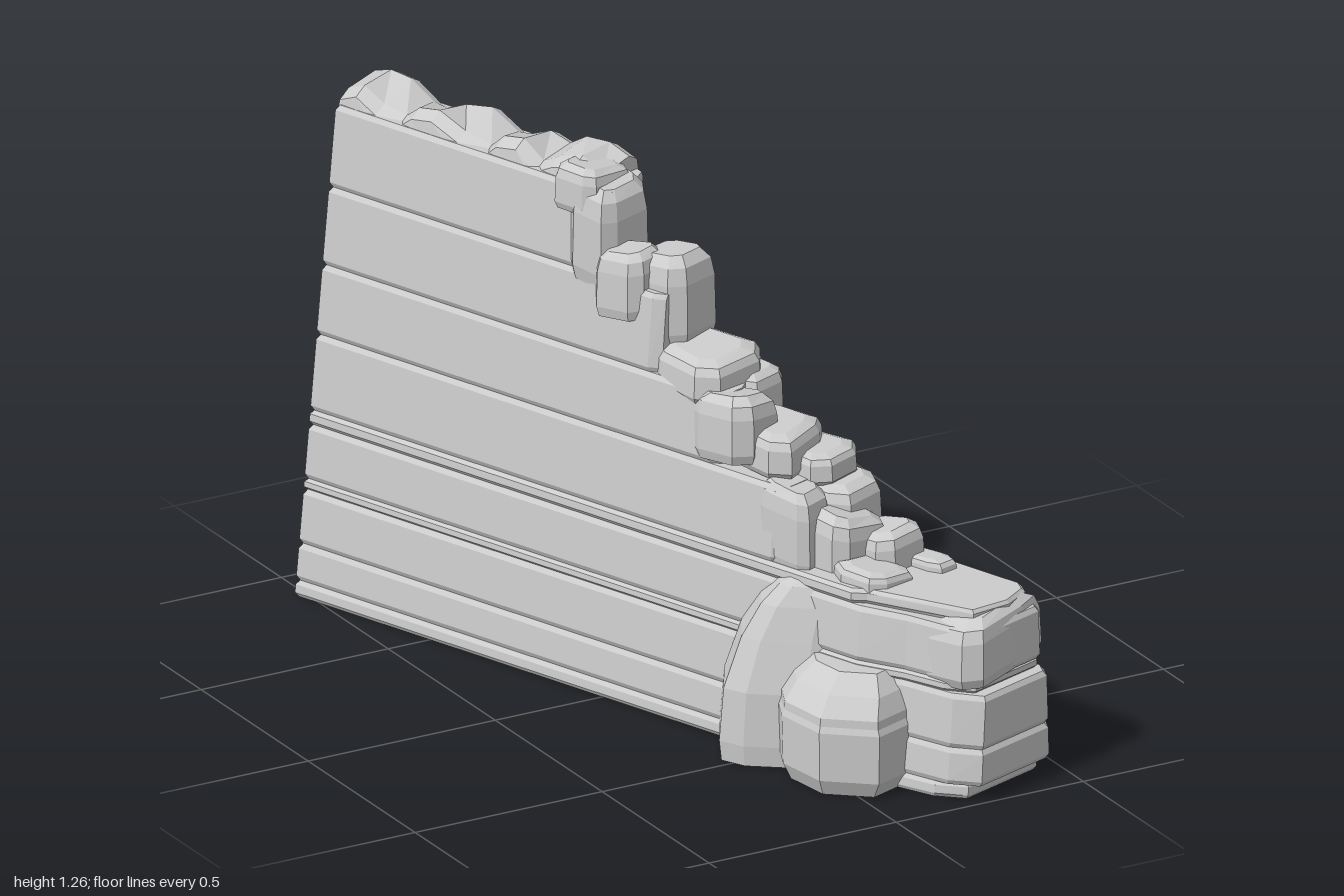
import * as THREE from 'three';

const stone = new THREE.MeshStandardMaterial({ color: 0xcccccc, flatShading: true });
stone.name = 'grey stone';

// small seeded generator for irregular stones
let seed = 7;
const jitter = (a) => {
  seed = (seed * 16807) % 2147483647;
  return (seed / 2147483647 - 0.5) * 2 * a;
};

// closed solid from rings of [x, y, z] points stacked one after another
function loft(rings) {
  const n = rings[0].length, pos = rings.flat(2), idx = [];
  for (let r = 0; r < rings.length - 1; r++)
    for (let i = 0; i < n; i++) {
      const a = r * n + i, b = r * n + (i + 1) % n;
      idx.push(a, a + n, b, b, a + n, b + n);
    }
  [0, rings.length - 1].forEach((r, top) => {
    const c = pos.length / 3;
    for (let k = 0; k < 3; k++) pos.push(rings[r].reduce((s, p) => s + p[k], 0) / n);
    for (let i = 0; i < n; i++) {
      const a = r * n + i, b = r * n + (i + 1) % n;
      if (top) idx.push(c, b, a); else idx.push(c, a, b);
    }
  });
  const g = new THREE.BufferGeometry();
  g.setAttribute('position', new THREE.Float32BufferAttribute(pos, 3));
  g.setIndex(idx);
  g.computeVertexNormals();
  return g;
}

function add(parent, name, geometry) {
  const m = new THREE.Mesh(geometry, stone);
  m.name = name;
  parent.add(m);
}

// the wall tapers upwards and leans slightly to one side
const half = (y) => 0.18 - 0.076 * y;
const lean = (y) => 0.027 * y;

// one course of the wall with bevelled joints; outline is [side, along] with side in -1..1
function course(y0, y1, outline) {
  const b = Math.min(0.012, (y1 - y0) / 4), g = 0.007;
  return loft([[y0, g], [y0 + b, 0], [y1 - b, 0], [y1, g]].map(([y, inset]) =>
    outline.map(([s, u]) => [
      s * (half(y) - inset) + lean(y), y, u * (1 - inset) + (u === -1 ? 0.016 * y : 0)])));
}

// roughly squared stone with worn corners: centre and half sizes
const corners = [[-1, -0.6], [-0.65, -1], [0.65, -1], [1, -0.6], [1, 0.6], [0.65, 1], [-0.65, 1], [-1, 0.6]];
function block([x, y, z, sx, sy, sz]) {
  const base = corners.map(([px, pz]) => [px + jitter(0.12), pz + jitter(0.12)]);
  const tiltX = jitter(0.12), tiltZ = jitter(0.12);
  return loft([[-1, 0.92], [-0.7, 1], [0.4, 0.97], [0.78, 0.88], [1, 0.62]].map(([h, k]) =>
    base.map(([px, pz]) => [
      x + px * k * sx, y + (h + tiltX * px + tiltZ * pz) * sy, z + pz * k * sz])));
}

// boulder: plan outline scaled and shifted at each level [y, scale, dx, dz]
function boulder(outline, levels) {
  const n = outline.length;
  const cx = outline.reduce((s, p) => s + p[0], 0) / n;
  const cz = outline.reduce((s, p) => s + p[1], 0) / n;
  return loft(levels.map(([y, k, dx = 0, dz = 0]) =>
    outline.map(([x, z]) => [cx + (x - cx) * k + dx, y, cz + (z - cz) * k + dz])));
}

export function createModel() {
  seed = 7;
  const model = new THREE.Group();
  model.name = 'ruinedWall';
  const wall = new THREE.Group();
  wall.name = 'wall';
  wall.position.set(-0.03, 0, 0);
  wall.rotation.y = 0.337;
  model.add(wall);

  // long lower courses with a broken front corner: [y0, y1, front end]
  [[0, 0.04, 0.99], [0.04, 0.13, 1.03], [0.13, 0.262, 1.03], [0.262, 0.288, 1.0], [0.288, 0.42, 1.01]]
    .forEach(([a, b, e]) => add(wall, 'lowerCourse', course(a, b,
      [[-1, -1], [1, -1], [1, e - 0.03], [0.85, e], [-0.5, e], [-0.72, e - 0.07], [-0.8, 0.82], [-1, 0.7]])));

  // stepped upper courses: [y0, y1, right end, left end]
  [[0.42, 0.455, 0.97, 0.7], [0.455, 0.64, 0.42, 0.45], [0.64, 0.81, 0.18, 0.24],
    [0.81, 1.0, -0.01, 0.04], [1.0, 1.2, -0.18, -0.15]]
    .forEach(([a, b, r, l]) => add(wall, 'upperCourse', course(a, b,
      [[-1, -1], [1, -1], [1, r - 0.03], [0.85, r], [0.3, r + 0.02], [-0.4, Math.max(r, l)], [-0.85, l], [-1, l - 0.03]])));

  // broken stones climbing the stepped end: [across, y, along, half sizes]
  [
    [0.0, 1.1, -0.19, 0.08, 0.12, 0.07], [-0.01, 1.19, -0.24, 0.08, 0.055, 0.07],
    [-0.04, 1.0, -0.09, 0.06, 0.08, 0.08], [0.02, 0.97, -0.01, 0.08, 0.11, 0.08],
    [0.0, 0.83, 0.11, 0.1, 0.05, 0.11], [0.06, 0.77, 0.18, 0.06, 0.06, 0.08],
    [-0.05, 0.73, 0.24, 0.075, 0.08, 0.09], [0.0, 0.7, 0.32, 0.09, 0.05, 0.1],
    [0.05, 0.66, 0.4, 0.08, 0.035, 0.09], [-0.07, 0.54, 0.44, 0.06, 0.1, 0.08],
    [0.06, 0.57, 0.45, 0.085, 0.06, 0.1], [0.0, 0.5, 0.53, 0.08, 0.08, 0.08],
    [0.06, 0.48, 0.6, 0.07, 0.06, 0.08], [-0.04, 0.455, 0.66, 0.07, 0.03, 0.08],
    [0.1, 0.455, 0.68, 0.035, 0.025, 0.09],
  ].forEach((s) => add(wall, 'endStone', block(s)));

  // rounded cap on the low front end
  add(wall, 'frontStone', block([0.02, 0.36, 0.93, 0.135, 0.08, 0.085]));

  // uneven crest along the top: [along, right height, left height]
  add(wall, 'crest', loft([
    [-0.98, 1.245, 1.23], [-0.93, 1.26, 1.25], [-0.87, 1.255, 1.22], [-0.8, 1.215, 1.21], [-0.76, 1.21, 1.24],
    [-0.7, 1.235, 1.25], [-0.62, 1.25, 1.22], [-0.54, 1.21, 1.205], [-0.5, 1.215, 1.24], [-0.44, 1.24, 1.25],
    [-0.38, 1.225, 1.21], [-0.33, 1.255, 1.235], [-0.26, 1.26, 1.255], [-0.2, 1.24, 1.22],
  ].map(([u, r, l]) => [[-0.085, 1.17], [-0.076, l - 0.02], [-0.045, l], [0.05, r], [0.078, r - 0.015], [0.088, 1.17]]
    .map(([x, y]) => [x + lean(1.2), y, u]))));

  // boulders leaning against both sides
  add(model, 'tallRightBoulder', boulder(
    [[0.1, -0.1], [0.18, -0.07], [0.38, 0.06], [0.46, 0.17], [0.44, 0.29], [0.28, 0.33], [0.1, 0.25]],
    [[0.01, 0.81, 0, -0.02], [0.06, 0.96, 0, 0.01], [0.19, 0.93, 0, 0.015], [0.205, 0.9, 0, 0.02],
      [0.24, 0.88, 0, 0.025], [0.3, 0.8, -0.02, 0.04], [0.35, 0.66, -0.03, 0.07],
      [0.39, 0.48, -0.05, 0.07], [0.41, 0.28, -0.06, 0.06]]));
  add(model, 'lowRightBoulder', boulder(
    [[0.25, 0.4], [0.44, 0.39], [0.51, 0.44], [0.525, 0.53], [0.5, 0.65], [0.43, 0.73], [0.28, 0.7]],
    [[0.005, 0.75], [0.03, 0.9], [0.1, 1], [0.17, 0.99], [0.185, 0.95], [0.2, 0.94],
      [0.26, 0.72, -0.01, 0.03], [0.29, 0.4, -0.03, 0.04]]));
  add(model, 'tallLeftBoulder', boulder(
    [[-0.1, 0.35], [0.12, 0.28], [0.24, 0.5], [0.16, 0.68], [-0.02, 0.62], [-0.14, 0.53], [-0.17, 0.47]],
    [[0, 0.97], [0.05, 1], [0.18, 0.94], [0.3, 0.8, 0.02], [0.38, 0.66, 0.04, 0.01], [0.425, 0.54, 0.06, 0.02],
      [0.44, 0.4, 0.07, 0.02]]));
  add(model, 'lowLeftBoulder', boulder(
    [[-0.1, 0.64], [-0.06, 0.55], [0.1, 0.5], [0.22, 0.7], [0.14, 0.83], [0.03, 0.87], [-0.08, 0.78]],
    [[0, 0.85], [0.04, 0.98], [0.16, 1], [0.175, 0.96], [0.195, 0.95], [0.24, 0.84, 0.02, -0.01],
      [0.28, 0.62, 0.04, -0.02]]));

  return model;
}
